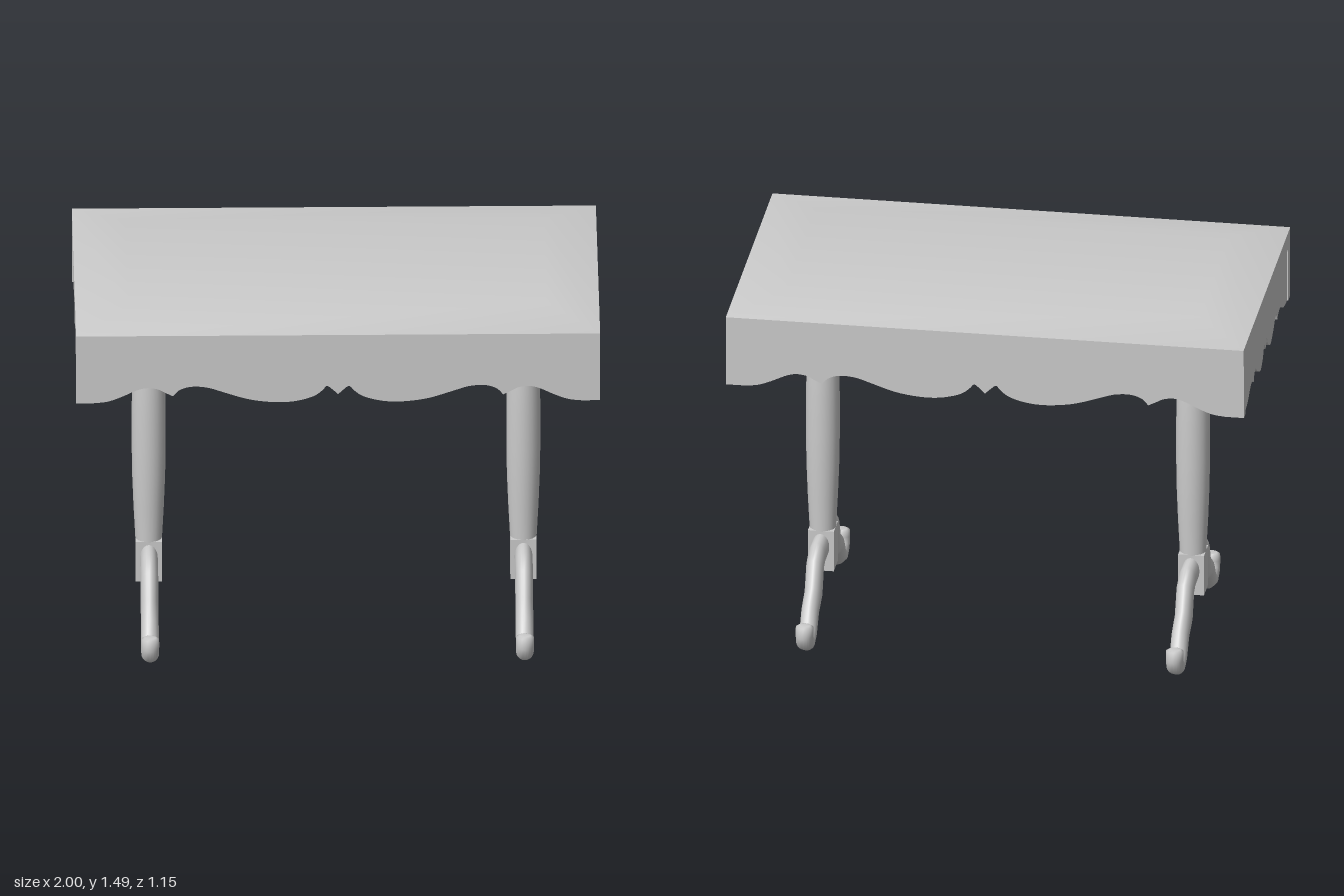
import * as THREE from 'three';
import { toCreasedNormals } from 'three/addons/utils/BufferGeometryUtils.js';

const material = new THREE.MeshStandardMaterial({ color: 0xcccccc });

function add(parent, name, geometry, x = 0, y = 0, z = 0) {
  const mesh = new THREE.Mesh(geometry, material);
  mesh.name = name;
  mesh.position.set(x, y, z);
  parent.add(mesh);
  return mesh;
}

// Half of the scalloped lower edge, from the centre outward, split at the sharp notch
const LONG_EDGE = [
  [[0, 1.198], [0.02, 1.217], [0.042, 1.233], [0.06, 1.215], [0.09, 1.192], [0.14, 1.175], [0.2, 1.166],
    [0.27, 1.168], [0.35, 1.181], [0.44, 1.21], [0.5, 1.229], [0.56, 1.233], [0.605, 1.219], [0.63, 1.193]],
  [[0.63, 1.193], [0.66, 1.208], [0.69, 1.223], [0.73, 1.228], [0.77, 1.218], [0.83, 1.19], [0.88, 1.172], [0.93, 1.166]],
];
const END_EDGE = [
  [[0, 1.2], [0.015, 1.219], [0.03, 1.234], [0.047, 1.217], [0.07, 1.188], [0.12, 1.166], [0.17, 1.182],
    [0.21, 1.204], [0.245, 1.228], [0.275, 1.22], [0.29, 1.193]],
  [[0.29, 1.193], [0.31, 1.206], [0.35, 1.213], [0.39, 1.2], [0.43, 1.18], [0.49, 1.166]],
];

// Apron board: straight top, scalloped bottom, centred on its thickness
function apronGeometry(edge, halfLength, thickness) {
  const half = edge.flatMap((part, i) => {
    const points = new THREE.SplineCurve(part.map(p => new THREE.Vector2(...p))).getPoints(part.length * 3);
    return i ? points.slice(1) : points;
  });
  half.push(new THREE.Vector2(halfLength, 1.166));
  const mirrored = half.slice(1).reverse().map(p => new THREE.Vector2(-p.x, p.y));
  const outline = [...mirrored, ...half,
    new THREE.Vector2(halfLength, 1.385), new THREE.Vector2(-halfLength, 1.385)];
  const geometry = new THREE.ExtrudeGeometry(new THREE.Shape(outline), { depth: thickness, bevelEnabled: false });
  geometry.translate(0, 0, -thickness / 2);
  return toCreasedNormals(geometry, 0.6);
}

// Scrolled foot: oval sections, each given by its upper and lower [z, y] point and half width
const FOOT = [
  [[0.06, 0.33], [0.06, 0.222], 0.034],
  [[0.145, 0.33], [0.15, 0.222], 0.034],
  [[0.226, 0.292], [0.156, 0.219], 0.034],
  [[0.274, 0.2], [0.187, 0.12], 0.034],
  [[0.345, 0.152], [0.28, 0.088], 0.034],
  [[0.383, 0.087], [0.34, 0.021], 0.034],
  [[0.402, 0.071], [0.412, 0], 0.034],
  [[0.419, 0.081], [0.466, 0.027], 0.034],
  [[0.422, 0.098], [0.488, 0.078], 0.034],
  [[0.424, 0.116], [0.478, 0.119], 0.034],
  [[0.433, 0.124], [0.469, 0.125], 0.022],
];
function footGeometry(sides = 20) {
  const positions = [], indices = [];
  const ring = ([top, bottom, halfWidth]) => {
    for (let j = 0; j < sides; j++) {
      const a = (j / sides) * Math.PI * 2, t = (1 + Math.cos(a)) / 2;
      positions.push(halfWidth * Math.sin(a),
        bottom[1] + (top[1] - bottom[1]) * t, bottom[0] + (top[0] - bottom[0]) * t);
    }
  };
  FOOT.forEach(ring);
  for (let i = 0; i < FOOT.length - 1; i++) {
    for (let j = 0; j < sides; j++) {
      const a = i * sides + j, b = i * sides + (j + 1) % sides;
      indices.push(a, a + sides, b, b, a + sides, b + sides);
    }
  }
  // Flat cap with its own vertices at the block, smooth cap at the tip
  const tip = (FOOT.length - 1) * sides, root = FOOT.length * sides;
  ring(FOOT[0]);
  for (let j = 1; j < sides - 1; j++) {
    indices.push(root, root + j, root + j + 1, tip, tip + j + 1, tip + j);
  }
  const geometry = new THREE.BufferGeometry();
  geometry.setAttribute('position', new THREE.Float32BufferAttribute(positions, 3));
  geometry.setIndex(indices);
  geometry.computeVertexNormals();
  return geometry;
}

export function createModel() {
  const table = new THREE.Group();
  table.name = 'table';

  // Top slab with a shallow sloping rise above it
  add(table, 'tabletopSlab', new THREE.BoxGeometry(2, 0.068, 1.15), 0, 1.418, 0);
  const rise = new THREE.BoxGeometry(2, 0.04, 1.15);
  const p = rise.attributes.position;
  for (let i = 0; i < p.count; i++) {
    if (p.getY(i) > 0) p.setXYZ(i, p.getX(i) * 0.8, p.getY(i), p.getZ(i) * 0.66);
  }
  add(table, 'tabletopRise', toCreasedNormals(rise, 0.5), 0, 1.472, 0);

  // Aprons: full-length front and back boards, end boards set in slightly
  const longApron = apronGeometry(LONG_EDGE, 1, 0.04);
  const endApron = apronGeometry(END_EDGE, 0.53, 0.04);
  for (const s of [1, -1]) {
    add(table, s > 0 ? 'frontApron' : 'backApron', longApron, 0, 0, s * 0.545);
    add(table, s > 0 ? 'leftApron' : 'rightApron', endApron, s * 0.975, 0, 0).rotation.y = Math.PI / 2;
  }

  // Pedestals: swelling post, square block and two scrolled feet
  const profile = [[0, 0.335], [0.051, 0.335], [0.058, 0.47], [0.063, 0.6], [0.065, 0.72], [0.065, 0.88],
    [0.063, 1.0], [0.057, 1.12], [0.05, 1.24], [0.043, 1.385], [0, 1.385]].map(q => new THREE.Vector2(...q));
  const post = toCreasedNormals(new THREE.LatheGeometry(profile, 24), 0.6);
  const block = new THREE.BoxGeometry(0.1, 0.166, 0.1);
  const foot = footGeometry();
  for (const s of [1, -1]) {
    const pedestal = new THREE.Group();
    pedestal.name = s > 0 ? 'leftPedestal' : 'rightPedestal';
    pedestal.position.x = s * 0.715;
    add(pedestal, 'post', post);
    add(pedestal, 'block', block, 0, 0.255, 0);
    add(pedestal, 'frontFoot', foot);
    add(pedestal, 'backFoot', foot).rotation.y = Math.PI;
    table.add(pedestal);
  }
  return table;
}
